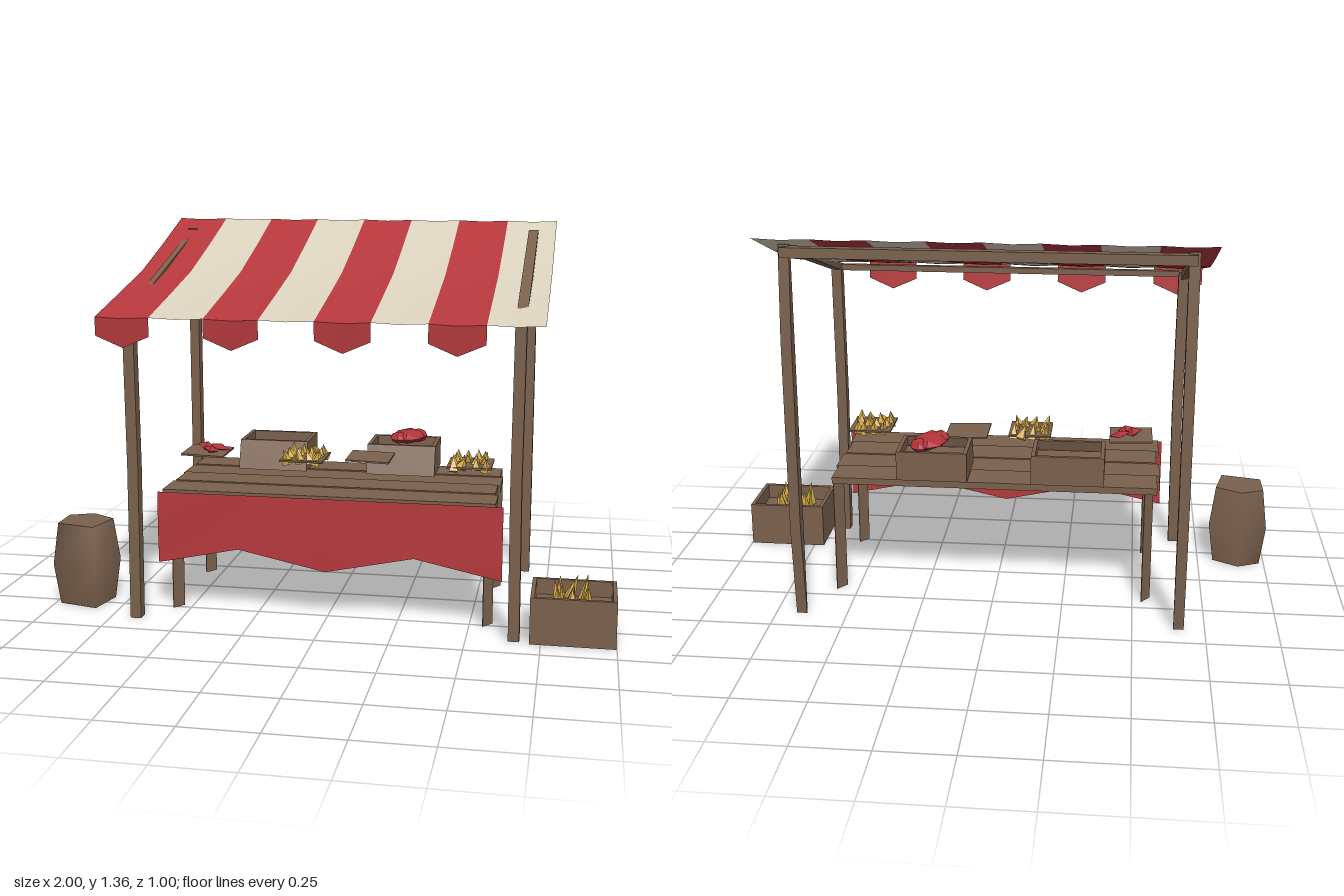
import * as THREE from 'three';

const mat = (name, color, extra = {}) => {
  const m = new THREE.MeshStandardMaterial({ color, ...extra });
  m.name = name;
  return m;
};

export function createModel() {
  const wood = mat('wood', 0x7a614d, { side: THREE.DoubleSide });
  const red = mat('red cloth', 0xb5383c, { side: THREE.DoubleSide });
  const cream = mat('cream cloth', 0xdad1bd, { side: THREE.DoubleSide });
  const gold = mat('gold produce', 0xd2a945, { flatShading: true });
  const redFood = mat('red produce', 0xb23339, { flatShading: true });

  const stall = new THREE.Group();
  stall.name = 'marketStall';

  let seed = 7;
  const rand = () => (seed = (seed * 16807) % 2147483647) / 2147483647;

  const add = (name, geo, material, x = 0, y = 0, z = 0, parent = stall) => {
    const m = new THREE.Mesh(geo, material);
    m.name = name;
    m.position.set(x, y, z);
    parent.add(m);
    return m;
  };

  // Moves every vertex of a geometry by a rule
  const warp = (geo, rule) => {
    const p = geo.attributes.position, v = new THREE.Vector3();
    for (let i = 0; i < p.count; i++) {
      v.fromBufferAttribute(p, i);
      rule(v);
      p.setXYZ(i, v.x, v.y, v.z);
    }
    geo.computeVertexNormals();
    return geo;
  };

  // Square bar between two points
  const beam = (name, a, b, w, h) => {
    const from = new THREE.Vector3(...a), to = new THREE.Vector3(...b);
    const m = add(name, new THREE.BoxGeometry(w, h, from.distanceTo(to)), wood);
    m.position.copy(from).lerp(to, 0.5);
    m.lookAt(to);
  };

  // Sheet of cloth through a grid of points given by rows
  const sheet = (name, rows, material) => {
    const n = rows[0].length, idx = [];
    for (let r = 0; r < rows.length - 1; r++)
      for (let c = 0; c < n - 1; c++) {
        const a = r * n + c;
        idx.push(a, a + n, a + 1, a + 1, a + n, a + n + 1);
      }
    const g = new THREE.BufferGeometry();
    g.setAttribute('position', new THREE.Float32BufferAttribute(rows.flat(2), 3));
    g.setIndex(idx);
    g.computeVertexNormals();
    add(name, g, material);
  };

  // Striped awning, with pointed flaps on the red stripes
  const x0 = -0.735, sw = 0.1847;
  for (let i = 0; i < 8; i++) {
    const a = x0 + i * sw, b = a + sw, mid = (a + b) / 2;
    const isRed = i % 2 === 0;
    const row = (y, z) => [[a, y, z], [mid, y - 0.004, z], [b, y, z]];
    sheet(isRed ? 'redStripe' : 'creamStripe',
      [row(1.355, -0.5), row(1.268, -0.25), row(1.187, 0), row(1.13, 0.25), row(1.075, 0.5)],
      isRed ? red : cream);
    if (isRed) sheet('awningFlap', [row(1.075, 0.5),
      [[a, 1.012, 0.497], [mid, 0.972, 0.492], [b, 1.012, 0.497]]], red);
  }

  // Posts and roof frame
  for (const s of [-1, 1]) {
    const x = s * 0.66;
    add('frontPost', warp(new THREE.BoxGeometry(0.038, 1.09, 0.042, 1, 2, 1), v => {
      if (Math.abs(v.y) < 0.01) v.x -= s * 0.004;
    }), wood, x, 0.545, 0.373);
    // Back posts bow outward and taper at both ends
    const ys = [0, 0.33, 1.0, 1.32], depth = [0.008, 0.044, 0.044, 0.02];
    add('backPost', warp(new THREE.BoxGeometry(0.036, 3, 1, 1, 3, 1), v => {
      const k = Math.round(v.y + 1.5);
      v.y = ys[k];
      v.z = v.z > 0 ? -0.396 : -0.396 - depth[k];
    }), wood, x, 0, 0);
    const lift = s > 0 ? 0 : -0.012;
    beam('rafter', [x, 1.078 + lift, 0.385], [x, 1.313 + lift, -0.41], s > 0 ? 0.036 : 0.022, 0.026);
  }
  beam('backBeam', [-0.67, 1.297, -0.42], [0.67, 1.297, -0.42], 0.036, 0.034);
  beam('frontBeam', [-0.67, 1.08, 0.375], [0.67, 1.08, 0.375], 0.022, 0.022);

  // Table: planks on four flat legs set at an angle
  for (let i = 0; i < 4; i++)
    add('tablePlank', new THREE.BoxGeometry(1.17 - (i % 2) * 0.02, 0.024, 0.129),
      wood, 0, 0.432 + (i % 2) * 0.004, 0.225 - i * 0.13);
  for (const x of [-0.547, 0.562])
    for (const z of [0.245, -0.182]) {
      const leg = add('tableLeg', new THREE.BoxGeometry(0.05, 0.425, 0.003), wood, x, 0.2125, z);
      leg.rotation.y = 0.92;
    }

  // Scalloped cloth on the table front
  const cx = [-0.6, -0.31, 0, 0.31, 0.612];
  const hem = [0.18, 0.242, 0.176, 0.242, 0.177];
  sheet('tableCloth', [
    cx.map(x => [x, 0.437, 0.3]),
    cx.map((x, i) => [x, (0.437 + hem[i]) / 2, 0.301 + (i % 2 ? -0.005 : 0.004)]),
    cx.map((x, i) => [x, hem[i], 0.3 + (i % 2 ? 0.004 : 0)]),
  ], red);

  // Open wooden crate; lean pulls the top of the front wall back
  const crate = (name, w, h, d, x, y, z, lean = 0) => {
    const g = new THREE.Group();
    g.name = name;
    g.position.set(x, y, z);
    stall.add(g);
    const rect = (P, a, b) => {
      const p = new P();
      p.moveTo(-a, -b); p.lineTo(a, -b); p.lineTo(a, b); p.lineTo(-a, b); p.closePath();
      return p;
    };
    const shape = rect(THREE.Shape, w / 2, d / 2);
    shape.holes.push(rect(THREE.Path, w / 2 - 0.014, d / 2 - 0.014));
    const walls = new THREE.ExtrudeGeometry(shape, { depth: h, bevelEnabled: false });
    walls.rotateX(-Math.PI / 2);
    add('crateWalls', warp(walls, v => { if (v.z > 0 && v.y > h / 2) v.z -= lean; }), wood, 0, 0, 0, g);
    add('crateFloor', new THREE.BoxGeometry(w - 0.02, h * 0.65, d - lean - 0.02), wood,
      0, h * 0.33, -lean / 2, g);
  };
  crate('groundCrate', 0.285, 0.162, 0.23, 0.855, 0, 0.293);
  crate('emptyCrate', 0.255, 0.105, 0.215, -0.262, 0.453, -0.138, 0.033);
  crate('redProduceCrate', 0.25, 0.105, 0.215, 0.215, 0.453, -0.138, 0.033);

  // Heaps of pointed pieces
  const heap = (name, cols, rows, w, d, r, h, x, y, z) => {
    for (let i = 0; i < cols; i++)
      for (let j = 0; j < rows; j++) {
        const m = add(name, new THREE.ConeGeometry(r, h * (0.75 + 0.35 * rand()), 4), gold,
          x + ((i + 0.5) / cols - 0.5) * w + (rand() - 0.5) * 0.015, y,
          z + ((j + 0.5) / rows - 0.5) * d + (rand() - 0.5) * 0.015);
        m.rotation.set((rand() - 0.5) * 0.8, rand() * 3, (rand() - 0.5) * 0.8);
      }
  };
  heap('crateProduce', 3, 4, 0.15, 0.17, 0.022, 0.09, 0.85, 0.15, 0.285);

  // Four flat display trays
  const tray = (x, z, tilt) => {
    const m = add('tray', new THREE.BoxGeometry(0.155, 0.006, 0.165), wood, x, 0.538, z);
    m.rotation.z = tilt;
  };
  tray(-0.48, 0.07, -0.03);
  tray(-0.11, 0.1, 0);
  tray(0.12, 0.06, -0.03);
  tray(0.483, 0.1, 0);
  for (const x of [-0.11, 0.483]) heap('trayProduce', 4, 4, 0.14, 0.165, 0.022, 0.055, x, 0.55, 0.1);

  // Red produce: flattened lumps given as x, y, z and half sizes
  [[0.23, 0.575, -0.16, 0.06, 0.026, 0.085], [0.2, 0.575, -0.12, 0.035, 0.022, 0.05],
    [0.26, 0.57, -0.2, 0.035, 0.026, 0.05], [-0.485, 0.555, 0.06, 0.035, 0.018, 0.045],
    [-0.44, 0.55, 0.045, 0.04, 0.013, 0.04], [-0.46, 0.552, 0.1, 0.03, 0.014, 0.025],
  ].forEach(([x, y, z, a, b, c], i) => {
    const m = add('redProduce', new THREE.OctahedronGeometry(1, i < 3 ? 1 : 0), redFood, x, y, z);
    m.scale.set(a, b, c);
    m.rotation.z = i < 3 ? 0 : -0.25;
  });

  // Five-sided sack, widest at the middle
  const ring = [[-1, 0.16], [-0.9, 0.115], [-0.787, 0.18], [-0.822, 0.342], [-0.998, 0.3]];
  const sack = new THREE.CylinderGeometry(1, 1, 0.3, 5, 2);
  add('sack', warp(sack, v => {
    v.y += 0.15;
    if (Math.hypot(v.x, v.z) < 0.1) { v.x = -0.9; v.z = 0.225; return; }
    const k = ((Math.round(Math.atan2(v.x, v.z) / (Math.PI * 0.4)) % 5) + 5) % 5;
    const [x, z] = ring[(7 - k) % 5];
    const s = Math.abs(v.y - 0.15) < 0.01 ? 1 : 0.82;
    v.x = -0.9 + (x + 0.9) * s;
    v.z = 0.225 + (z - 0.225) * s;
  }), wood);

  return stall;
}
